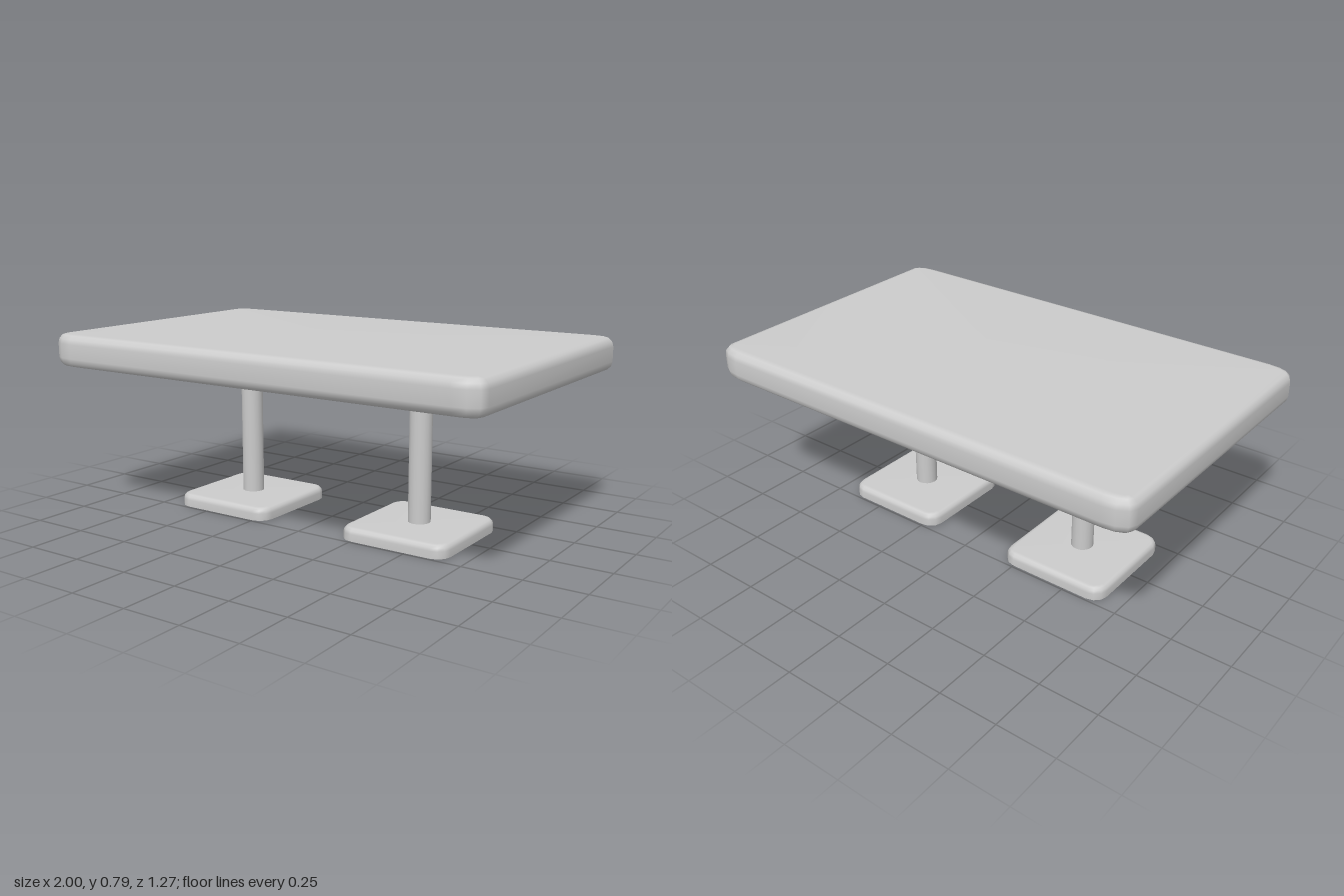
import * as THREE from 'three';

const grey = new THREE.MeshStandardMaterial({ color: 0xcccccc });
const greyShell = new THREE.MeshStandardMaterial({ color: 0xcccccc, side: THREE.DoubleSide });

// Rounded slab lofted from rounded-rectangle rings; levels are [inset, y] from bottom to top
function slab(halfX, halfZ, radiusX, radiusZ, levels, closedBottom) {
  const steps = 3;
  const ringSize = 4 * (steps + 1);
  const positions = [];
  const index = [];
  for (const [inset, y] of levels) {
    for (let corner = 0; corner < 4; corner++) {
      const sx = corner === 0 || corner === 3 ? 1 : -1;
      const sz = corner < 2 ? 1 : -1;
      for (let s = 0; s <= steps; s++) {
        const angle = (corner + s / steps) * Math.PI / 2;
        positions.push(
          sx * (halfX - radiusX) + (radiusX - inset) * Math.cos(angle), y,
          sz * (halfZ - radiusZ) + (radiusZ - inset) * Math.sin(angle));
      }
    }
  }
  const last = levels.length - 1;
  const bottomCentre = positions.length / 3;
  positions.push(0, levels[0][1], 0, 0, levels[last][1], 0);
  for (let i = 0; i < ringSize; i++) {
    const j = (i + 1) % ringSize;
    for (let l = 0; l < last; l++) {
      const low = l * ringSize;
      const high = low + ringSize;
      index.push(low + i, high + i, low + j, low + j, high + i, high + j);
    }
    index.push(bottomCentre + 1, last * ringSize + j, last * ringSize + i);
    if (closedBottom) index.push(bottomCentre, i, j);
  }
  const geometry = new THREE.BufferGeometry();
  geometry.setAttribute('position', new THREE.Float32BufferAttribute(positions, 3));
  geometry.setIndex(index);
  geometry.computeVertexNormals();
  return geometry;
}

// Quarter-round edge from the wall (t = 0) to the flat face (t = 1)
function roundEdge(width, height, t) {
  const a = t * Math.PI / 2;
  return [width * (1 - Math.cos(a)), height * (1 - Math.sin(a))];
}

export function createModel() {
  const group = new THREE.Group();
  const add = (name, geometry, material, x = 0, y = 0) => {
    const mesh = new THREE.Mesh(geometry, material);
    mesh.name = name;
    mesh.position.set(x, y, 0);
    group.add(mesh);
  };

  // Thick top, rounded along its upper and lower edges
  const edge = [0, 1 / 3, 2 / 3, 1].map(t => roundEdge(0.04, 0.04, t));
  const topLevels = [
    ...edge.slice().reverse().map(([inset, d]) => [inset, 0.65 + d]),
    ...edge.map(([inset, d]) => [inset, 0.79 - d]),
  ];
  add('tableTop', slab(1, 0.635, 0.11, 0.06, topLevels, true), grey);

  // Two pedestals: a round post on a hollow foot, open underneath
  const footLevels = [[0, 0],
    ...[0, 1 / 3, 2 / 3, 1].map(t => roundEdge(0.025, 0.025, t)).map(([inset, d]) => [inset, 0.055 - d])];
  const foot = slab(0.24, 0.24, 0.06, 0.06, footLevels, false);
  const post = new THREE.CylinderGeometry(0.047, 0.047, 0.605, 16);
  for (const [side, x] of [['left', 0.43], ['right', -0.43]]) {
    add(side + 'Post', post, grey, x, 0.3575);
    add(side + 'Foot', foot, greyShell, x);
  }
  return group;
}
